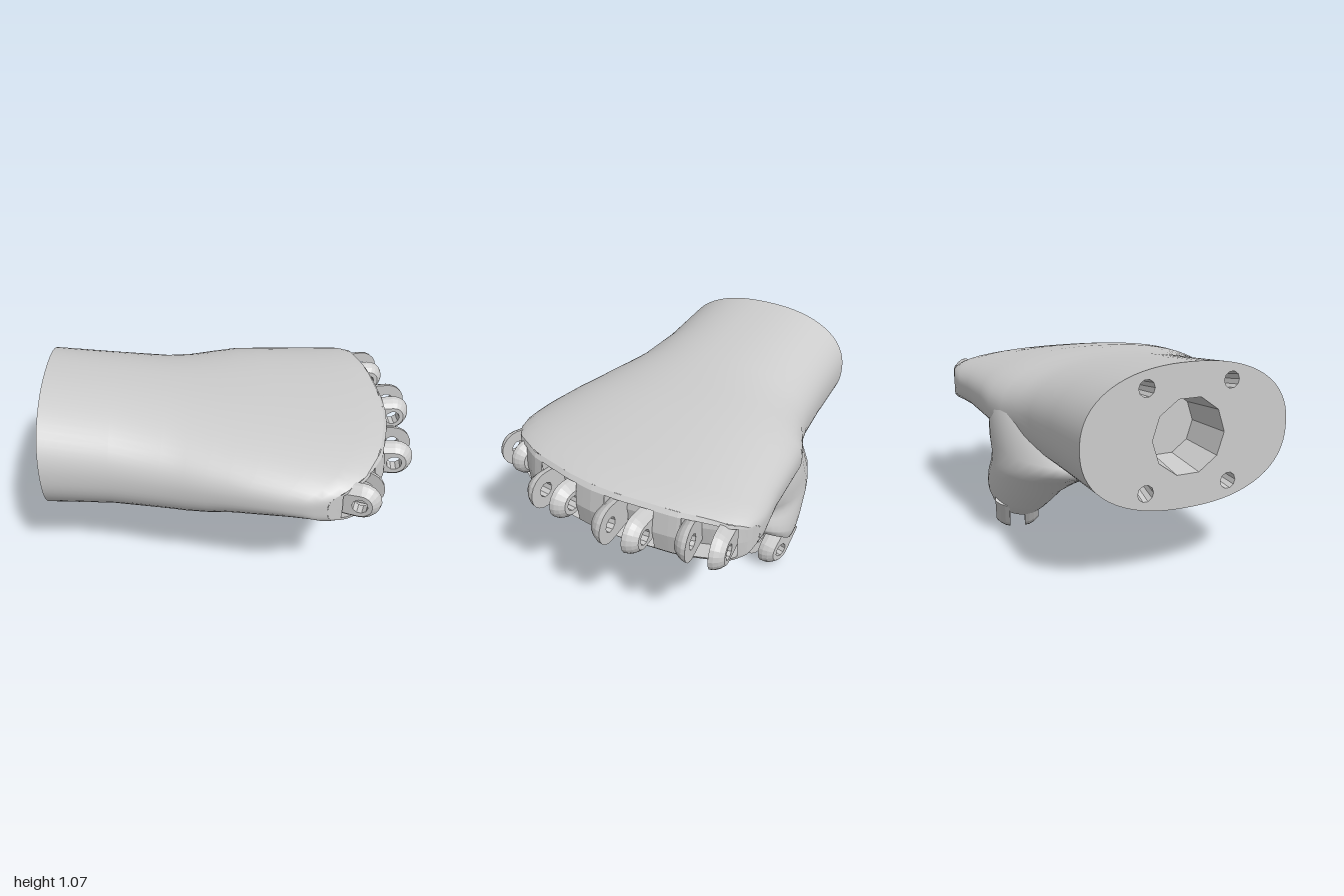
import * as THREE from 'three';

const grey = () => new THREE.MeshStandardMaterial({ color: 0xcccccc, side: THREE.DoubleSide });

function mesh(name, geometry) {
  const m = new THREE.Mesh(geometry, grey());
  m.name = name;
  return m;
}

function buffer(pos, index) {
  const g = new THREE.BufferGeometry();
  g.setAttribute('position', new THREE.Float32BufferAttribute(pos, 3));
  if (index) g.setIndex(index);
  g.computeVertexNormals();
  return g;
}

// Piecewise linear lookup in a list of [key, value] pairs
function lookup(table, k) {
  if (k <= table[0][0]) return table[0][1];
  for (let i = 1; i < table.length; i++) {
    const [a, va] = table[i - 1], [b, vb] = table[i];
    if (k <= b) return va + (vb - va) * (k - a) / (b - a);
  }
  return table[table.length - 1][1];
}

// Skin over rings of points, with an optional flat cap on the last ring
function loft(rings, cap) {
  const n = rings[0].length, pos = [], index = [];
  rings.forEach(r => r.forEach(p => pos.push(p.x, p.y, p.z)));
  for (let i = 0; i + 1 < rings.length; i++) {
    for (let j = 0; j < n; j++) {
      const a = i * n + j, b = i * n + (j + 1) % n;
      index.push(a, a + n, b, b, a + n, b + n);
    }
  }
  if (cap) {
    const last = rings[rings.length - 1], base = rings.length * n, c = new THREE.Vector3();
    last.forEach(p => { pos.push(p.x, p.y, p.z); c.addScaledVector(p, 1 / n); });
    pos.push(c.x, c.y, c.z);
    for (let j = 0; j < n; j++) index.push(base + n, base + (j + 1) % n, base + j);
  }
  return buffer(pos, index);
}

// Knuckle line seen from above: z -> x
const KNUCKLES = [[-0.75, 0.6], [-0.72, 0.72], [-0.65, 0.78], [-0.4, 0.835], [-0.1, 0.855], [0.05, 0.85],
  [0.2, 0.825], [0.45, 0.755], [0.62, 0.65], [0.7, 0.54], [0.74, 0.42]];
const knuckleX = z => lookup(KNUCKLES, z);

// Hand sections from wrist to knuckles: s, zMin, zMax, yMin, yMax, squareness
const SECTIONS = [
  [0, -0.6, 0.46, 0.39, 1.07, 2.3],
  [0.2, -0.6, 0.48, 0.388, 1.025, 2.3],
  [0.35, -0.61, 0.53, 0.39, 0.992, 2.3],
  [0.43, -0.635, 0.57, 0.405, 0.98, 2.35],
  [0.5, -0.675, 0.605, 0.43, 0.97, 2.4],
  [0.57, -0.712, 0.635, 0.455, 0.962, 2.4],
  [0.65, -0.718, 0.668, 0.482, 0.948, 2.5],
  [0.8, -0.728, 0.715, 0.522, 0.915, 2.7],
  [0.9, -0.74, 0.733, 0.542, 0.885, 3.1],
  [0.95, -0.745, 0.738, 0.553, 0.862, 3.6],
  [0.98, -0.74, 0.73, 0.567, 0.839, 4],
];

function sectionRing([s, z0, z1, y0, y1, n], count = 72) {
  return Array.from({ length: count }, (_, j) => {
    const a = j / count * Math.PI * 2, c = Math.cos(a), d = Math.sin(a);
    const r = (Math.abs(c) ** n + Math.abs(d) ** n) ** (-1 / n);
    const z = (z0 + z1) / 2 + r * c * (z1 - z0) / 2;
    const y = (y0 + y1) / 2 + r * d * (y1 - y0) / 2;
    return new THREE.Vector3(-1 + s * (1 + knuckleX(z)), y, z);
  });
}

// Rounded wall closing the last section, with a recess for each [zMin, zMax] slot
function knuckleWall([s, z0, z1, y0, y1, n], slots, depth) {
  const pos = [], zc = (z0 + z1) / 2, hz = (z1 - z0) / 2, yc = (y0 + y1) / 2, hy = (y1 - y0) / 2;
  const quad = (a, b, c, d) => [a, b, c, a, c, d].forEach(p => pos.push(...p));
  const zs = slots.flat();
  for (let i = 0; i <= 48; i++) zs.push(zc - hz * Math.cos(i / 48 * Math.PI));
  zs.sort((a, b) => a - b);
  // Point at column z and row -1..1, pushed inward by d
  const at = (z, row, d = 0) => {
    const u = Math.min(1, Math.abs(z - zc) / hz) ** n, h = (1 - u) ** (1 / n) * row;
    const x = -1 + (1 + knuckleX(z)) * (1 - (1 - s) * (u + Math.abs(h) ** n));
    return [x - d, yc + hy * h, z];
  };
  const e = 0.84;
  for (let i = 0; i + 1 < zs.length; i++) {
    const a = zs[i], b = zs[i + 1], mid = (a + b) / 2;
    const patch = (lo, hi, d) => quad(at(a, lo, d), at(a, hi, d), at(b, hi, d), at(b, lo, d));
    const open = slots.some(([p, q]) => mid > p && mid < q);
    patch(-1, -e, 0);
    patch(e, 1, 0);
    patch(-e, 0, open ? depth : 0);
    patch(0, e, open ? depth : 0);
    if (open) {
      quad(at(a, e), at(b, e), at(b, e, depth), at(a, e, depth));
      quad(at(a, -e), at(a, -e, depth), at(b, -e, depth), at(b, -e));
    }
  }
  for (const [p, q] of slots) {
    quad(at(p, -e), at(p, e), at(p, e, depth), at(p, -e, depth));
    quad(at(q, -e, depth), at(q, e, depth), at(q, e), at(q, -e));
  }
  return buffer(pos);
}

// Moves every vertex by a rule
function warp(geometry, rule) {
  const p = geometry.attributes.position, v = new THREE.Vector3();
  for (let i = 0; i < p.count; i++) {
    rule(v.fromBufferAttribute(p, i));
    p.setXYZ(i, v.x, v.y, v.z);
  }
  geometry.computeVertexNormals();
  return geometry;
}

const roundHole = (z, y, r, sides) => new THREE.Path(Array.from({ length: sides }, (_, i) => {
  const a = i / sides * Math.PI * 2;
  return new THREE.Vector2(-z + r * Math.cos(a), y + r * Math.sin(a));
}));

// Pair of rounded lugs with a pin hole, opening toward +x
function hinge(name, inner, thick, r = 0.1) {
  const group = new THREE.Group();
  group.name = name;
  const shape = new THREE.Shape();
  shape.moveTo(-0.15, -r * 0.9);
  for (let i = 0; i <= 10; i++) {
    const a = (i / 10 - 0.5) * Math.PI;
    shape.lineTo(r * Math.cos(a), r * Math.sin(a));
  }
  shape.lineTo(-0.15, r * 0.9);
  shape.holes.push(roundHole(0, 0, 0.04, 10));
  for (const side of [0, 1]) {
    const g = new THREE.ExtrudeGeometry(shape, { depth: thick, steps: 3, bevelEnabled: false });
    // Domed outer face
    warp(g, v => {
      const k = 1 - 0.38 * (v.z / thick) ** 2;
      if (Math.hypot(v.x, v.y) > 0.05) { v.y *= k; if (v.x > 0) v.x *= k; }
      v.z += inner;
    });
    const lug = mesh('hingeLug', g);
    lug.rotation.x = side * Math.PI;
    group.add(lug);
  }
  return group;
}

export function createModel() {
  const model = new THREE.Group();
  model.name = 'handShell';

  model.add(mesh('palm', loft(SECTIONS.map(s => sectionRing(s)))));

  // Wrist plate with a central bore and four bolt holes
  const cz = -0.07, cy = 0.73;
  const shape = new THREE.Shape(sectionRing(SECTIONS[0]).map(p => new THREE.Vector2(-p.z, p.y)));
  shape.holes.push(roundHole(cz, cy, 0.185, 10));
  for (const i of [-1, 1]) for (const j of [-1, 1]) shape.holes.push(roundHole(cz + i * 0.215, cy + j * 0.24, 0.04, 10));
  const wrist = new THREE.ExtrudeGeometry(shape, { depth: 0.25, bevelEnabled: false }).rotateY(Math.PI / 2);
  warp(wrist, v => {
    const k = 1 - 0.6 * v.x;
    v.set(v.x - 1, cy + (v.y - cy) * k, cz + (v.z - cz) * k);
  });
  model.add(mesh('wristPlate', wrist));
  const bore = mesh('boreFloor', new THREE.BoxGeometry(0.02, 0.5, 0.5));
  bore.position.set(-0.75, cy, cz);
  model.add(bore);

  // Fingers: pivot x, pivot z, yaw, slot half width, lug inner offset, lug thickness
  const fingers = [
    [0.82, -0.555, 0.1, 0.125, 0.055, 0.066],
    [0.9, -0.165, 0, 0.13, 0.058, 0.07],
    [0.835, 0.26, -0.13, 0.125, 0.058, 0.066],
    [0.615, 0.62, -0.35, 0.085, 0.045, 0.06],
  ];
  const slots = fingers.map(([, z, , w]) => [z - w, z + w]);
  model.add(mesh('knuckleWall', knuckleWall(SECTIONS[SECTIONS.length - 1], slots, 0.1)));
  for (const [x, z, yaw, , inner, thick] of fingers) {
    const joint = hinge('fingerHinge', inner, thick);
    joint.position.set(x, 0.715, z);
    joint.rotation.y = yaw;
    model.add(joint);
  }

  // Thumb base sections going down: y at x = 0, slope, xMin, xMax, zMin, zMax
  const thumb = [
    [0.86, 0, -0.15, 0.15, -0.6, -0.3],
    [0.7, 0, -0.32, 0.3, -0.7, -0.1],
    [0.52, 0.08, -0.56, 0.42, -0.705, 0.1],
    [0.45, 0.08, -0.5, 0.3, -0.71, 0.03],
    [0.41, 0.09, -0.42, 0.24, -0.715, -0.1],
    [0.37, 0.13, -0.35, 0.225, -0.717, -0.2],
    [0.32, 0.22, -0.275, 0.215, -0.72, -0.29],
    [0.25, 0.42, -0.19, 0.205, -0.718, -0.345],
    [0.21, 0.58, -0.14, 0.195, -0.712, -0.365],
    [0.175, 0.68, -0.105, 0.17, -0.7, -0.385],
  ];
  const rings = thumb.map(([y, slope, x0, x1, z0, z1]) => Array.from({ length: 36 }, (_, j) => {
    const a = j / 36 * Math.PI * 2;
    const x = (x0 + x1) / 2 + Math.cos(a) * (x1 - x0) / 2;
    return new THREE.Vector3(x, y + slope * x, (z0 + z1) / 2 - Math.sin(a) * (z1 - z0) / 2);
  }));
  model.add(mesh('thumbBase', loft(rings, true)));

  const thumbHinge = hinge('thumbHinge', 0.04, 0.075, 0.11);
  thumbHinge.position.set(0.025, 0.11, -0.56);
  thumbHinge.rotation.set(0, -0.3, -0.95);
  model.add(thumbHinge);

  return model;
}
